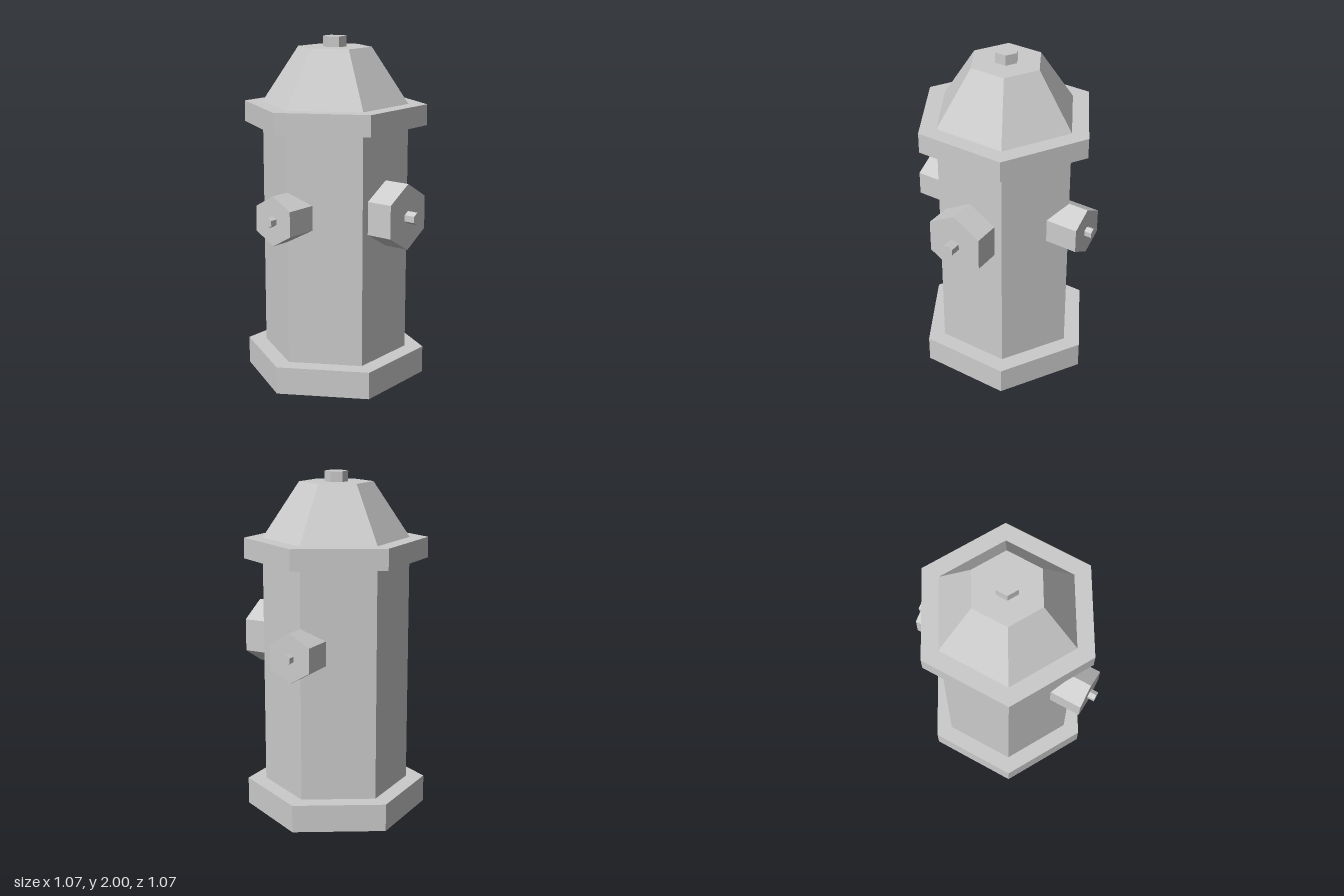
import * as THREE from 'three';

const material = new THREE.MeshStandardMaterial({ color: 0xcccccc, flatShading: true });

// Upright six-sided section with corners on the x axis
function hexSection(name, bottomRadius, topRadius, y0, y1) {
  const geometry = new THREE.CylinderGeometry(topRadius, bottomRadius, y1 - y0, 6);
  geometry.rotateY(Math.PI / 6);
  geometry.translate(0, (y0 + y1) / 2, 0);
  const mesh = new THREE.Mesh(geometry, material);
  mesh.name = name;
  return mesh;
}

// Six-sided plug along +z, with corners at top and bottom
function hexPlug(name, radius, z0, z1) {
  const geometry = new THREE.CylinderGeometry(radius, radius, z1 - z0, 6);
  geometry.rotateX(Math.PI / 2);
  geometry.translate(0, 0, (z0 + z1) / 2);
  const mesh = new THREE.Mesh(geometry, material);
  mesh.name = name;
  return mesh;
}

// Outlet cap with its nut, turned about the y axis
function outlet(name, degrees, radius, face, nutRadius) {
  const group = new THREE.Group();
  group.name = name;
  group.add(
    hexPlug('outletCap', radius, 0.3, face),
    hexPlug('outletNut', nutRadius, face - 0.01, 0.587)
  );
  group.position.y = 1.02;
  group.rotation.y = THREE.MathUtils.degToRad(degrees);
  return group;
}

export function createModel() {
  const model = new THREE.Group();
  model.name = 'fireHydrant';

  const hydrant = new THREE.Group();
  hydrant.name = 'hydrant';
  hydrant.position.set(-0.003, 0, -0.003);
  model.add(hydrant);

  // Barrel, flanges and bonnet
  hydrant.add(
    hexSection('baseFlange', 0.531, 0.531, 0, 0.16),
    hexSection('barrel', 0.424, 0.424, 0.16, 1.5),
    hexSection('topFlange', 0.531, 0.531, 1.5, 1.62),
    hexSection('bonnet', 0.424, 0.212, 1.62, 1.94),
    hexSection('topNut', 0.068, 0.068, 1.94, 2)
  );

  // Large outlet on one face, two small outlets on opposite corners
  hydrant.add(
    outlet('mainOutlet', 60, 0.19, 0.523, 0.036),
    outlet('frontSideOutlet', -30, 0.142, 0.544, 0.03),
    outlet('backSideOutlet', 150, 0.142, 0.544, 0.03)
  );

  return model;
}
